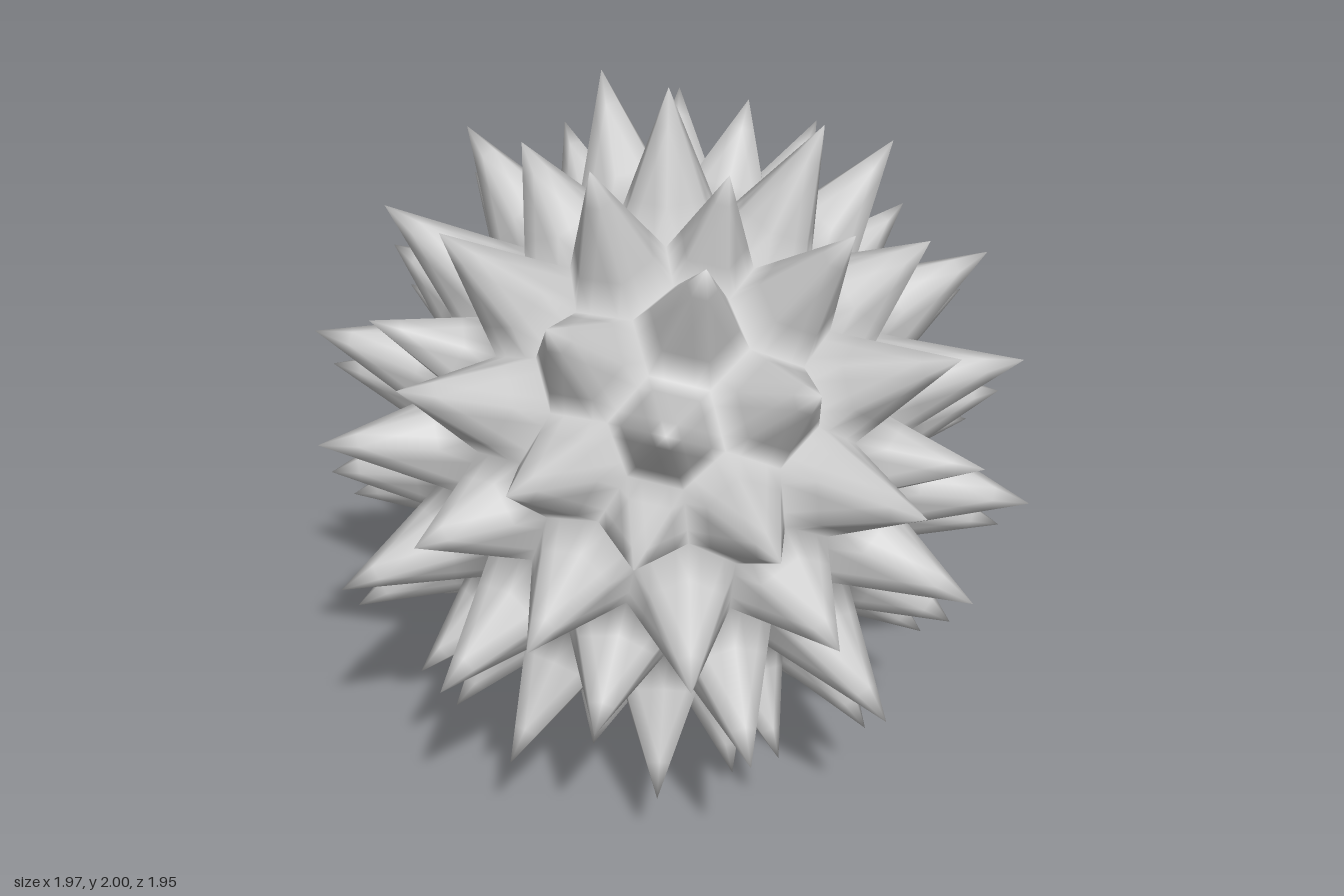
import * as THREE from 'three';
import { mergeVertices } from 'three/addons/utils/BufferGeometryUtils.js';

const VALLEY = 0.64; // radius of the low points between spikes
const CORNER_TIP = 0.94, FACE_TIP = 0.93, EDGE_TIP = 1; // spike tip radii
const ROWS = 4; // rows of triangles on each spike side, so smooth shading follows the cone

// Unique directions and triangles of a geodesic sphere
function geodesic(detail) {
  const geometry = new THREE.IcosahedronGeometry(1, detail);
  geometry.deleteAttribute('uv');
  geometry.deleteAttribute('normal');
  const merged = mergeVertices(geometry, 1e-3);
  const p = merged.attributes.position;
  const points = Array.from({ length: p.count }, (_, i) => new THREE.Vector3().fromBufferAttribute(p, i).normalize());
  return { points, index: Array.from(merged.index.array) };
}

// Splits one flat spike side into rows of small triangles, from tip to base
function addSide(out, tip, right, left) {
  const at = (row, k) => tip.clone()
    .addScaledVector(right.clone().sub(tip), (row - k) / ROWS)
    .addScaledVector(left.clone().sub(tip), k / ROWS);
  for (let row = 0; row < ROWS; row++) {
    for (let k = 0; k <= row; k++) {
      out.push(at(row, k), at(row + 1, k), at(row + 1, k + 1));
      if (k < row) out.push(at(row, k), at(row + 1, k + 1), at(row, k + 1));
    }
  }
}

// Each geodesic point becomes a spike, each triangle centre a valley corner
function spikyBall() {
  const corners = geodesic(0).points;
  const { points, index } = geodesic(2);
  const tips = points.map((p) => {
    const near = Math.max(...corners.map((c) => c.dot(p)));
    return p.clone().multiplyScalar(near > 0.99 ? CORNER_TIP : near < 0.86 ? FACE_TIP : EDGE_TIP);
  });

  const valleys = [];
  const triangleOf = new Map(); // directed edge -> triangle on its left
  for (let t = 0; t < index.length / 3; t++) {
    const tri = index.slice(t * 3, t * 3 + 3);
    const centre = new THREE.Vector3();
    tri.forEach((a, k) => {
      centre.add(points[a]);
      triangleOf.set(`${a},${tri[(k + 1) % 3]}`, t);
    });
    valleys.push(centre.setLength(VALLEY));
  }

  // One spike side per directed edge
  const vertices = [];
  for (const [key, left] of triangleOf) {
    const [a, b] = key.split(',').map(Number);
    addSide(vertices, tips[a], valleys[triangleOf.get(`${b},${a}`)], valleys[left]);
  }
  const geometry = mergeVertices(new THREE.BufferGeometry().setFromPoints(vertices), 1e-4);

  // Stand the ball on a spike that lies between two neighbouring corners
  const v1 = corners[0];
  const v2 = corners.find((c) => Math.abs(c.dot(v1) - 0.447) < 0.01);
  const up = v1.clone().multiplyScalar(2).add(v2).normalize();
  const side = v1.clone().addScaledVector(up, -v1.dot(up)).normalize();
  const third = side.clone().cross(up);
  geometry.applyMatrix4(new THREE.Matrix4().makeBasis(side, up, third).transpose());
  geometry.rotateY(-THREE.MathUtils.degToRad(56));
  geometry.translate(0, 1, 0);
  geometry.computeVertexNormals();
  return geometry;
}

export function createModel() {
  const group = new THREE.Group();
  group.name = 'spikyBall';
  const ball = new THREE.Mesh(spikyBall(), new THREE.MeshStandardMaterial({ color: 0xcccccc }));
  ball.name = 'spikes';
  group.add(ball);
  return group;
}
